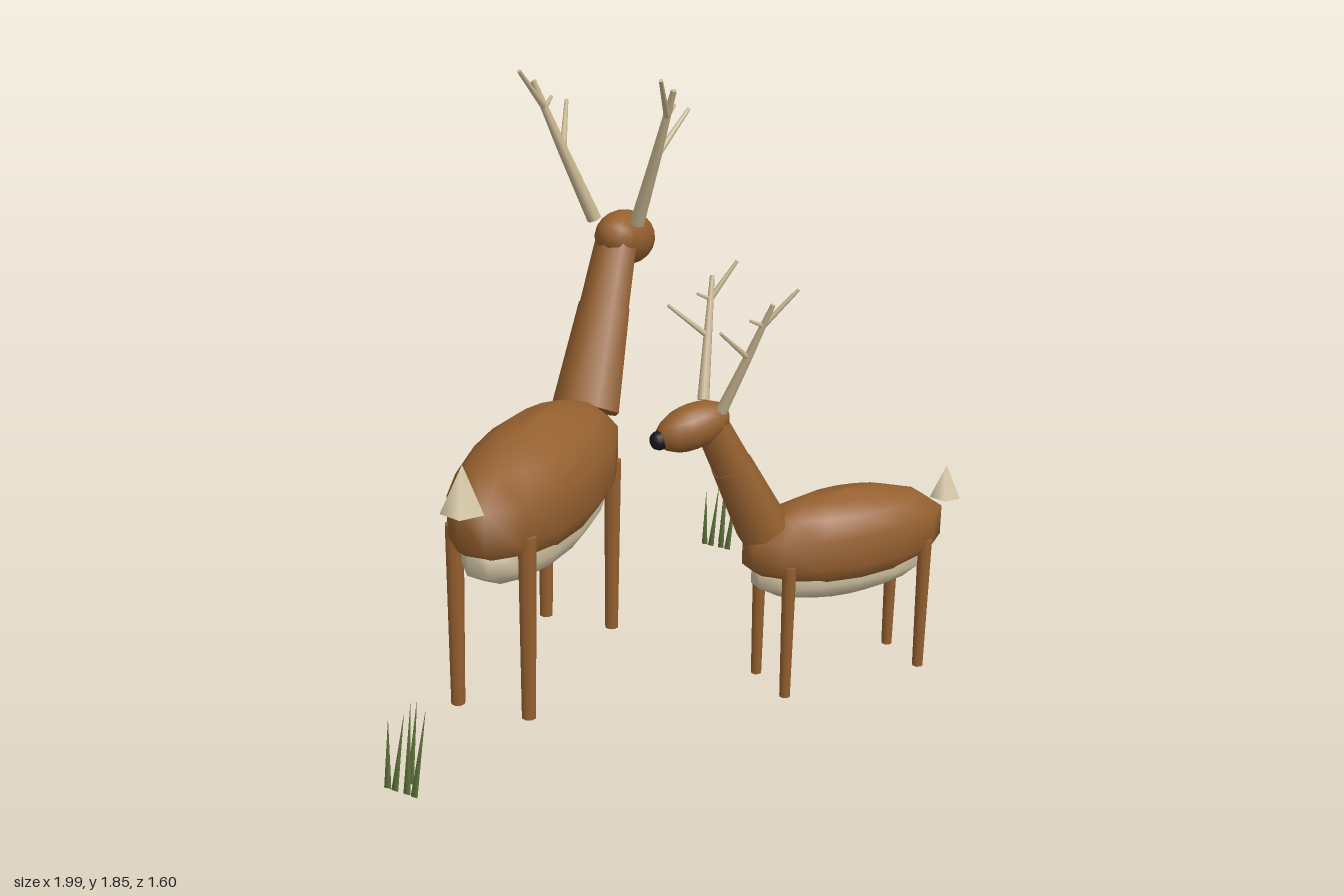
import * as THREE from 'three';

const material = (name, color) => {
  const m = new THREE.MeshStandardMaterial({ color });
  m.name = name;
  return m;
};

const V = (x, y, z) => new THREE.Vector3(x, y, z);

// Tapered rod from point a to point b
function rod(name, a, b, rA, rB, sides, mat) {
  const dir = b.clone().sub(a);
  const mesh = new THREE.Mesh(new THREE.CylinderGeometry(rB, rA, dir.length(), sides), mat);
  mesh.position.copy(a).add(b).multiplyScalar(0.5);
  mesh.quaternion.setFromUnitVectors(V(0, 1, 0), dir.normalize());
  mesh.name = name;
  return mesh;
}

// Faceted ellipsoid with an upright band around its middle
function barrel(name, y, size, mat) {
  const profile = [-90, -66, -43, -18, 18, 43, 66, 90].map((deg) => {
    const a = THREE.MathUtils.degToRad(deg);
    return new THREE.Vector2(Math.max(0, Math.cos(a)), Math.sin(a));
  });
  const geo = new THREE.LatheGeometry(profile, 14);
  geo.scale(...size);
  const mesh = new THREE.Mesh(geo, mat);
  mesh.position.y = y;
  mesh.name = name;
  return mesh;
}

// One antler; side is +1 or -1 across the body
function antler(side, mat) {
  const g = new THREE.Group();
  g.name = side > 0 ? 'rightAntler' : 'leftAntler';
  const P = (x, y, z) => V(x, y, z * side);
  const fork = P(0.595, 1.56, 0.163);
  const upper = P(0.56, 1.7, 0.212);
  g.add(
    rod('lowerBeam', P(0.658, 1.32, 0.076), fork, 0.025, 0.018, 7, mat),
    rod('upperBeam', fork, P(0.536, 1.79, 0.242), 0.018, 0.01, 7, mat),
    rod('frontTine', fork, P(0.752, 1.695, 0.217), 0.013, 0.007, 6, mat),
    rod('backTine', upper, P(0.422, 1.838, 0.24), 0.012, 0.007, 6, mat),
    rod('shortTine', upper, P(0.62, 1.728, 0.214), 0.01, 0.006, 6, mat),
  );
  return g;
}

// Deer facing local +x
function deer(name, mats) {
  const g = new THREE.Group();
  g.name = name;
  g.add(barrel('body', 0.64, [0.51, 0.21, 0.208], mats.coat));
  g.add(barrel('belly', 0.53, [0.465, 0.155, 0.163], mats.cream));

  // Legs
  for (const x of [-0.34, 0.34]) {
    for (const z of [-0.12, 0.12]) {
      g.add(rod(x > 0 ? 'frontLeg' : 'rearLeg', V(x, 0, z), V(x, 0.6, z), 0.023, 0.03, 8, mats.coat));
    }
  }

  // Neck in two tapering sections
  g.add(rod('lowerNeck', V(0.405, 0.74, 0), V(0.565, 1.05, 0), 0.115, 0.088, 7, mats.coat));
  g.add(rod('upperNeck', V(0.55, 1.02, 0), V(0.68, 1.27, 0), 0.087, 0.07, 7, mats.coat));

  // Head, tipped down toward the nose
  const head = new THREE.Group();
  head.name = 'head';
  head.position.set(0.746, 1.245, 0);
  head.rotation.z = -0.24;
  const skull = new THREE.Mesh(new THREE.SphereGeometry(1, 14, 10), mats.coat);
  skull.scale.set(0.168, 0.094, 0.09);
  skull.name = 'skull';
  const nose = new THREE.Mesh(new THREE.SphereGeometry(0.04, 10, 8), mats.nose);
  nose.position.x = 0.157;
  nose.name = 'nose';
  head.add(skull, nose);
  g.add(head, antler(1, mats.antler), antler(-1, mats.antler));

  // Tail
  const tail = new THREE.Mesh(new THREE.ConeGeometry(0.068, 0.145, 5), mats.cream);
  tail.position.set(-0.52, 0.798, 0);
  tail.name = 'tail';
  g.add(tail);
  return g;
}

// Tuft of leaning three-sided blades; layout holds x, z, height, lean x, lean z
function tuft(x, z, flip, mat) {
  const g = new THREE.Group();
  g.name = 'grassTuft';
  g.position.set(x, 0, z);
  const blades = [
    [-0.04, -0.03, 0.2, 0.015, -0.02],
    [-0.01, 0.03, 0.27, 0.03, -0.025],
    [0.025, -0.015, 0.24, 0.035, -0.02],
    [0, 0.055, 0.25, 0.045, -0.01],
    [-0.03, -0.005, 0.22, 0.04, -0.015],
  ];
  for (const [bx, bz, h, lx, lz] of blades) {
    g.add(rod('blade', V(bx, 0, bz * flip), V(bx + lx, h, (bz + lz) * flip), 0.013, 0.0005, 3, mat));
  }
  return g;
}

export function createModel() {
  const mats = {
    coat: material('brown coat', 0x95602f),
    cream: material('cream fur', 0xd6c7a6),
    antler: material('antler bone', 0xc8b691),
    nose: material('dark nose', 0x1c1719),
    grass: material('grass green', 0x5c7038),
  };
  const model = new THREE.Group();
  model.name = 'deerPair';

  const large = deer('largeDeer', mats);
  large.position.set(-0.225, 0, 0.1);
  large.rotation.y = THREE.MathUtils.degToRad(34.5);

  const small = deer('smallDeer', mats);
  small.position.set(0.563, 0, 0.653);
  small.rotation.y = THREE.MathUtils.degToRad(172.3);
  small.scale.setScalar(0.732);

  model.add(large, small);
  model.add(tuft(-0.945, 0.555, 1, mats.grass));
  model.add(tuft(0.02, -0.75, 1, mats.grass));
  model.add(tuft(0.845, -0.355, 1, mats.grass));
  return model;
}
